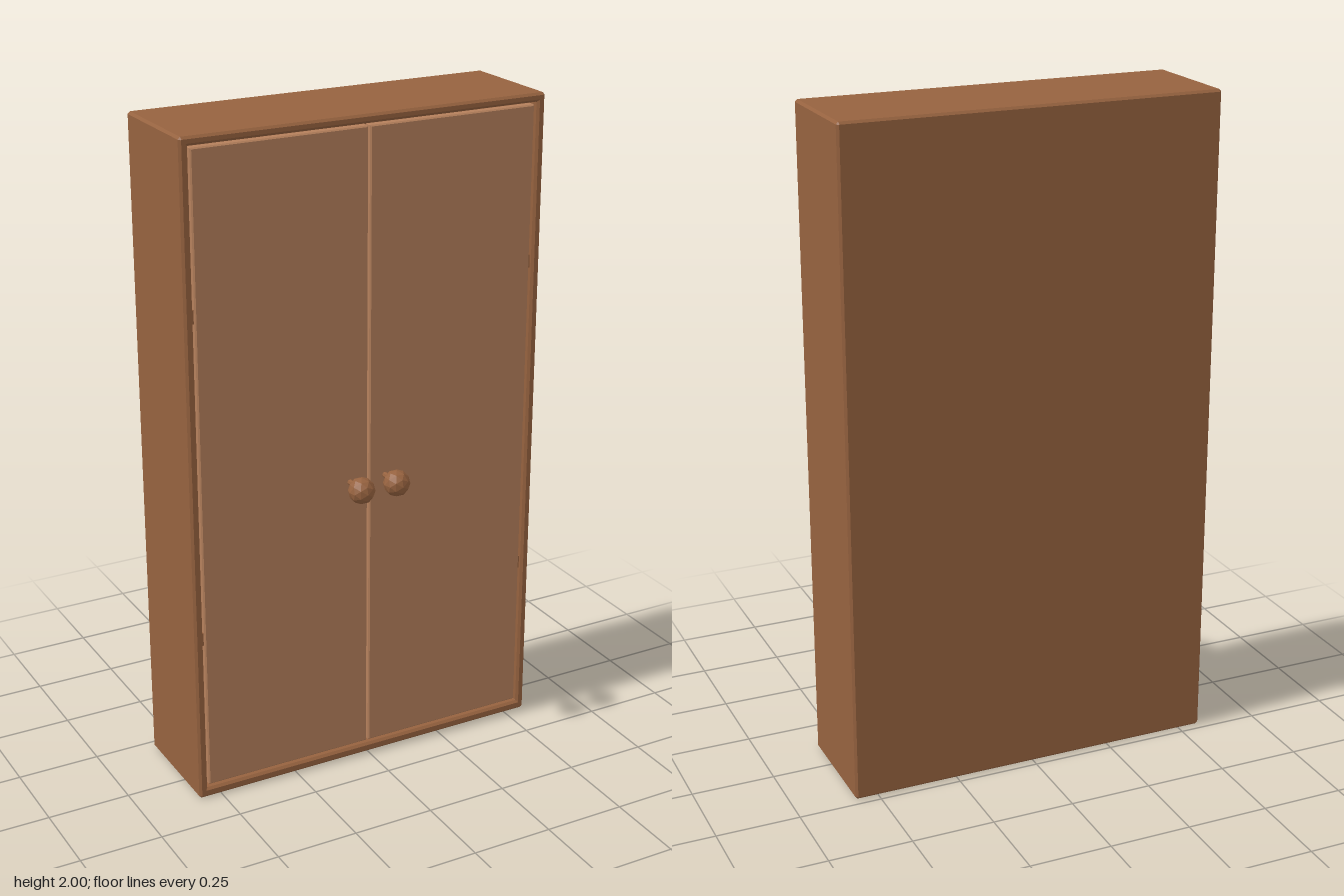
import * as THREE from 'three';

// Skin a run of corner-cut rectangles: each ring is [x0, x1, y0, y1, z, cornerCut]
function loft(rings) {
  const points = rings.map(([x0, x1, y0, y1, z, c]) => [
    [x1, y0 + c], [x1, y1 - c], [x1 - c, y1], [x0 + c, y1],
    [x0, y1 - c], [x0, y0 + c], [x0 + c, y0], [x1 - c, y0],
  ].map(([x, y]) => [x, y, z]));
  const pos = [];
  const tri = (a, b, c) => pos.push(...a, ...b, ...c);
  for (let r = 0; r < points.length - 1; r++) {
    const p = points[r], q = points[r + 1];
    for (let i = 0; i < 8; i++) {
      const j = (i + 1) % 8;
      tri(p[i], p[j], q[j]);
      tri(p[i], q[j], q[i]);
    }
  }
  // End caps: the first faces back, the last faces front
  const first = points[0], last = points[points.length - 1];
  for (let i = 1; i < 7; i++) {
    tri(first[0], first[i + 1], first[i]);
    tri(last[0], last[i], last[i + 1]);
  }
  const geo = new THREE.BufferGeometry();
  geo.setAttribute('position', new THREE.Float32BufferAttribute(pos, 3));
  geo.computeVertexNormals();
  return geo;
}

// Rectangle ring shrunk by a margin
const ring = ([x0, x1, y0, y1], m, z, c) => [x0 + m, x1 - m, y0 + m, y1 - m, z, c];

export function createModel() {
  const group = new THREE.Group();
  const wood = new THREE.MeshStandardMaterial({ color: 0x96623f, flatShading: true });
  const doorWood = new THREE.MeshStandardMaterial({ color: 0xb5805c, flatShading: true });
  const add = (name, geo, mat, parent = group) => {
    const mesh = new THREE.Mesh(geo, mat);
    mesh.name = name;
    parent.add(mesh);
    return mesh;
  };

  // Cabinet body: chamfered outside, front rim, hollow inside
  const outer = [-0.57, 0.57, 0, 2], inner = [-0.544, 0.544, 0.03, 1.974];
  const b = 0.007, back = -0.227, front = 0.122;
  add('cabinetBody', loft([
    ring(outer, b, back, 0.001),
    ring(outer, 0, back + b, b),
    ring(outer, 0, front - b, b),
    ring(outer, b, front, 0.001),
    ring(inner, -b, front, 0.001),
    ring(inner, 0, front - b, 0.001),
    ring(inner, 0, back + 0.03, 0.001),
  ]), wood);

  // Doors with round knobs on short stems
  for (const [side, s] of [['left', 1], ['right', -1]]) {
    const door = new THREE.Group();
    door.name = side + 'Door';
    group.add(door);
    const panel = s > 0 ? [0.003, 0.537, 0.038, 1.967] : [-0.537, -0.003, 0.038, 1.967];
    const zf = 0.117, e = 0.004;
    add(side + 'DoorPanel', loft([
      ring(panel, e, zf - 0.03, 0.001),
      ring(panel, 0, zf - 0.03 + e, 0.001),
      ring(panel, 0, zf - e, 0.001),
      ring(panel, e, zf, 0.001),
    ]), doorWood, door);

    const x = s * 0.058 - 0.003, y = 0.92;
    const stem = add(side + 'KnobStem', new THREE.CylinderGeometry(0.009, 0.009, 0.06, 8), wood, door);
    stem.rotation.x = Math.PI / 2;
    stem.position.set(x, y, 0.135);
    const knob = add(side + 'Knob', new THREE.IcosahedronGeometry(0.04, 1), wood, door);
    knob.position.set(x, y, 0.187);

    // Hinges in the gap at the outer edge
    for (const hy of [0.52, 1.5]) {
      const hinge = add(side + 'Hinge', new THREE.BoxGeometry(0.007, 0.04, 0.02), wood, door);
      hinge.position.set(s * 0.5405, hy, 0.098);
    }
  }
  return group;
}
